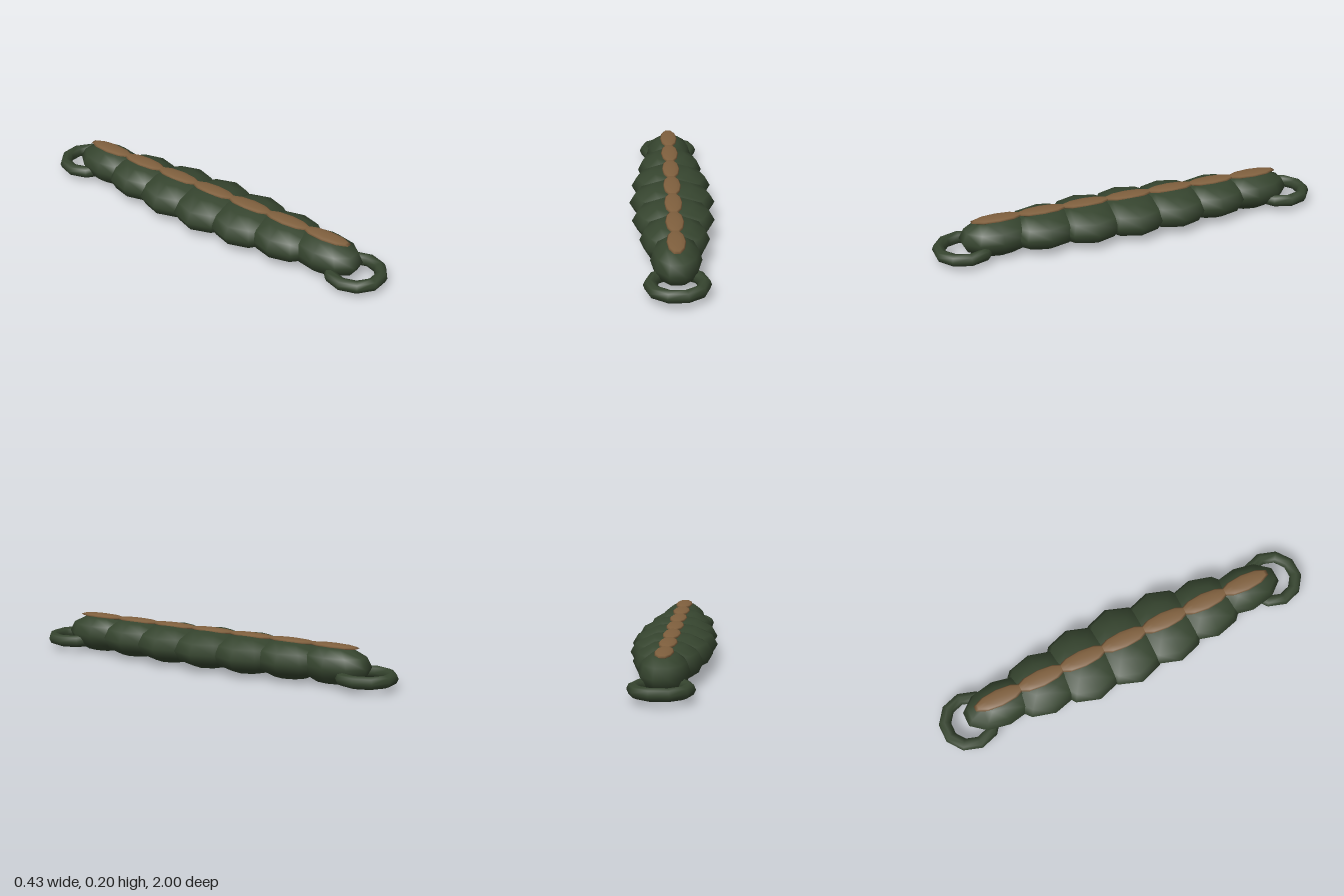
import * as THREE from 'three';

export function createModel() {
  const group = new THREE.Group();
  const green = new THREE.MeshStandardMaterial({ color: 0x36452f });
  green.name = 'dark green';
  const brown = new THREE.MeshStandardMaterial({ color: 0x80603e });
  brown.name = 'tan brown';

  const ball = new THREE.SphereGeometry(1, 10, 6);
  const add = (geometry, material, name, x, y, z) => {
    const mesh = new THREE.Mesh(geometry, material);
    mesh.name = name;
    mesh.position.set(x, y, z);
    group.add(mesh);
    return mesh;
  };

  // Overlapping body segments, widest in the middle, each with a ridge on top
  const widths = [0.214, 0.202, 0.167, 0.12];
  const spacing = 0.227;
  for (let i = -3; i <= 3; i++) {
    const z = i * spacing;
    add(ball, green, 'bodySegment', 0, 0.1, z).scale.set(widths[Math.abs(i)], 0.097, 0.197);
    add(ball, brown, 'backRidge', 0, 0.19, z).scale.set(0.045, 0.012, 0.137);
  }

  // Flat rings at both ends
  const ring = new THREE.TorusGeometry(0.124, 0.031, 8, 10).rotateX(Math.PI / 2);
  for (const side of [1, -1]) {
    add(ring, green, side > 0 ? 'frontRing' : 'backRing', 0, 0.058, side * 0.853);
  }
  return group;
}
